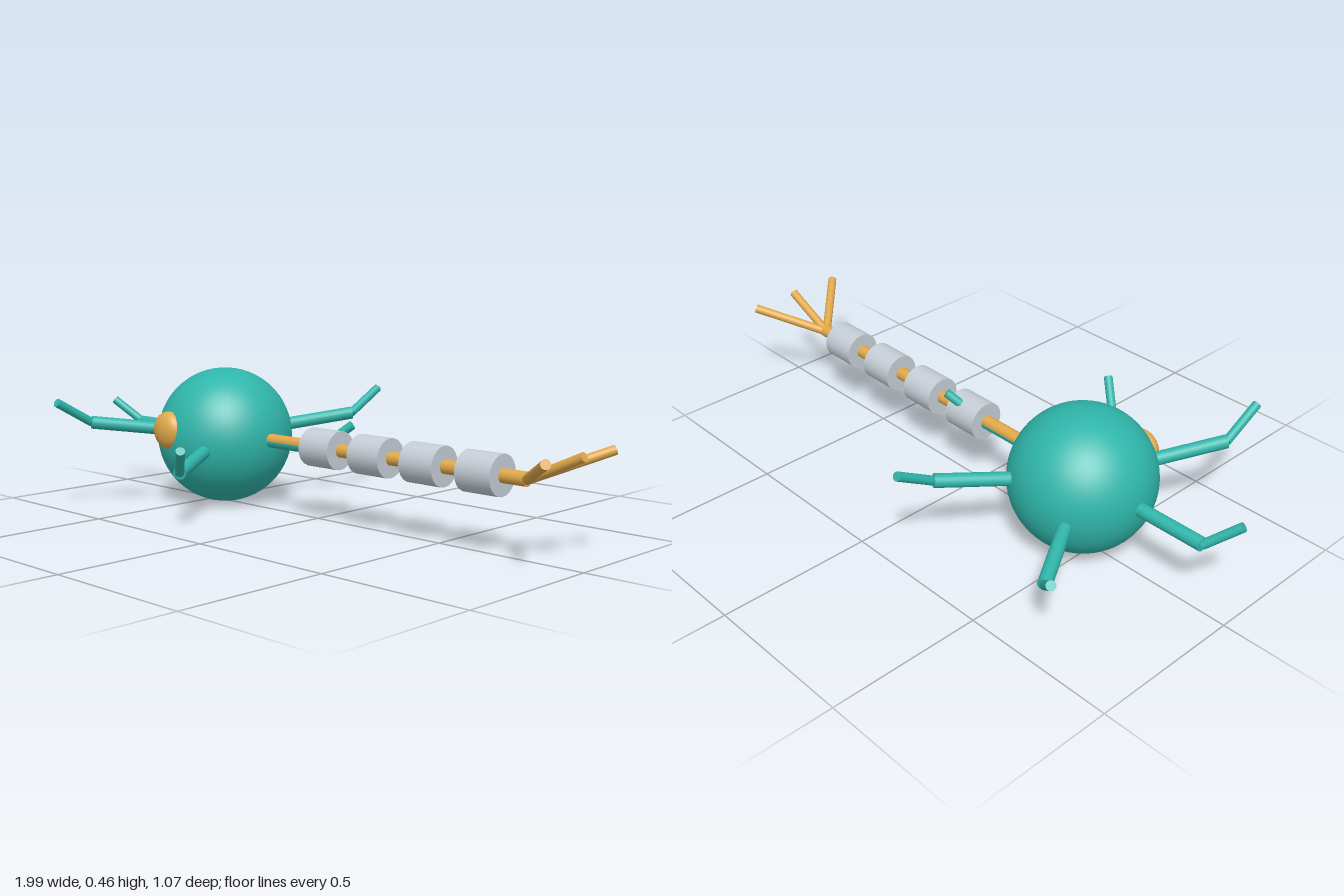
import * as THREE from 'three';

const teal = new THREE.MeshStandardMaterial({ color: 0x2fb5aa });
const gold = new THREE.MeshStandardMaterial({ color: 0xe0a84a });
const silver = new THREE.MeshStandardMaterial({ color: 0xc5cdd5 });
const V = (x, y, z) => new THREE.Vector3(x, y, z);

// Capped round rod between two points
function rod(name, a, b, radius, material) {
  const dir = b.clone().sub(a);
  const mesh = new THREE.Mesh(new THREE.CylinderGeometry(radius, radius, dir.length(), 20), material);
  mesh.name = name;
  mesh.position.copy(a).add(b).multiplyScalar(0.5);
  mesh.quaternion.setFromUnitVectors(V(0, 1, 0), dir.normalize());
  return mesh;
}

export function createModel() {
  const model = new THREE.Group();
  model.name = 'creature';
  const centre = V(-0.445, 0.232, 0);

  // Round body
  const body = new THREE.Mesh(new THREE.SphereGeometry(0.229, 48, 32), teal);
  body.name = 'body';
  body.position.copy(centre);
  model.add(body);

  // Flattened eye on the front
  const eye = new THREE.Mesh(new THREE.SphereGeometry(0.064, 32, 24), gold);
  eye.name = 'eye';
  eye.position.set(-0.49, 0.262, 0.21);
  eye.scale.z = 0.62;
  model.add(eye);

  // Six radial limbs; opposite limbs repeat with a half turn
  const bends = [V(0.088, 0.079, -0.058), V(0.085, 0.086, 0.066), V(-0.003, 0.077, 0.134)];
  for (let i = 0; i < 6; i++) {
    const angle = i * Math.PI / 3;
    const out = V(Math.cos(angle), -0.148 * Math.sin(2 * angle), Math.sin(angle));
    const start = centre.clone().addScaledVector(out, 0.18);
    const joint = centre.clone().addScaledVector(out, 0.453);
    const bend = bends[i % 3].clone();
    if (i > 2) bend.multiply(V(-1, 1, -1));
    const limb = new THREE.Group();
    limb.name = 'limb' + (i + 1);
    limb.add(rod('upperLimb', start, joint, 0.0215, teal));
    limb.add(rod('lowerLimb', joint, joint.clone().add(bend), 0.0145, teal));
    model.add(limb);
  }

  // Tail shaft with four barrel segments
  const tail = new THREE.Group();
  tail.name = 'tail';
  tail.add(rod('tailShaft', V(-0.25, 0.235, 0), V(0.81, 0.235, 0), 0.0215, gold));
  for (let i = 0; i < 4; i++) {
    const x = 0.036 + i * 0.209;
    tail.add(rod('tailSegment' + (i + 1), V(x - 0.0625, 0.235, 0), V(x + 0.0625, 0.235, 0), 0.0625, silver));
  }

  // Three upswept prongs at the tail end
  for (const z of [-0.17, 0, 0.17]) {
    tail.add(rod('tailProng', V(0.805, 0.232, 0), V(z ? 0.983 : 0.99, 0.318, z), 0.0145, gold));
  }
  model.add(tail);
  return model;
}
